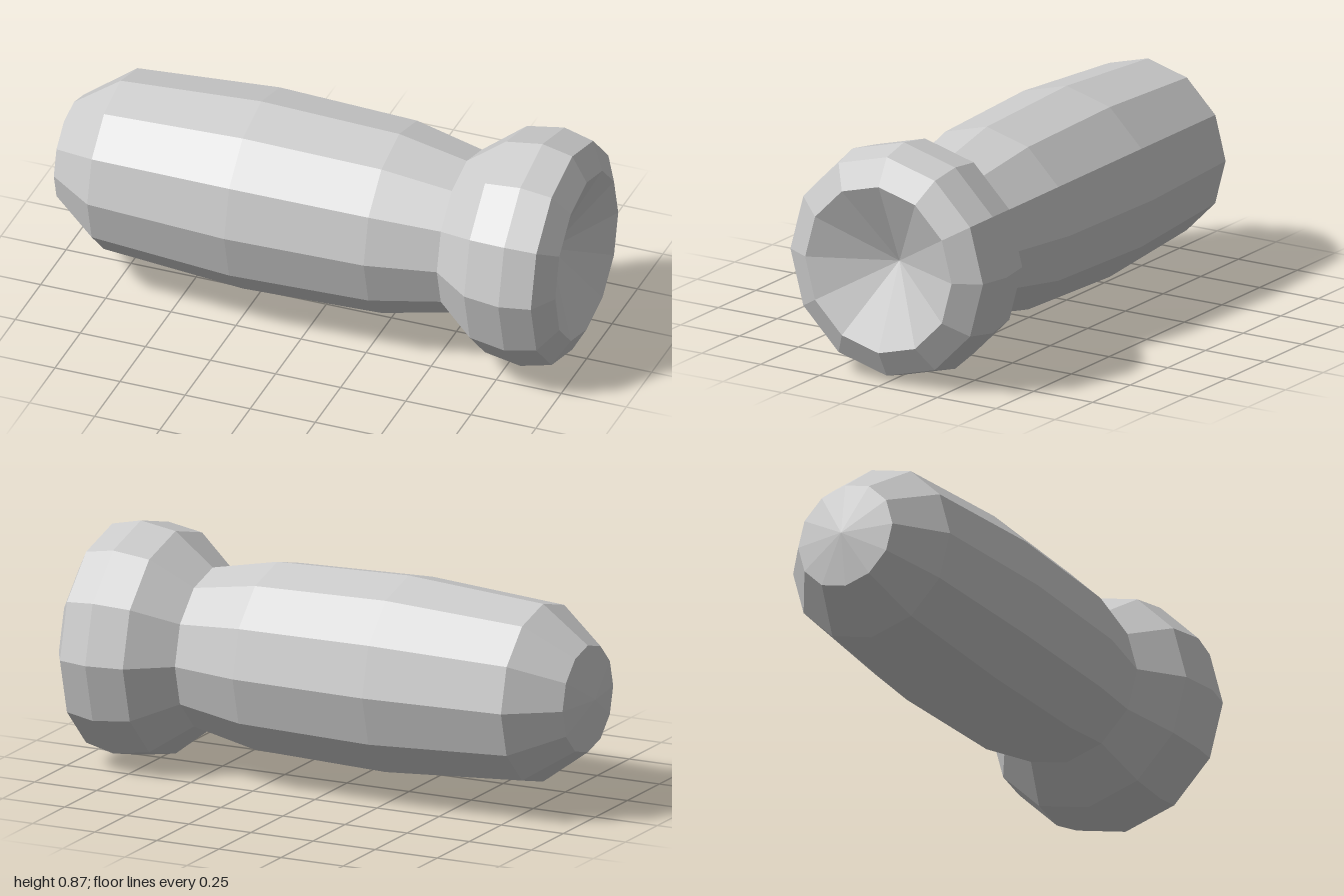
import * as THREE from 'three';

const SIDES = 12;
const AXIS_HEIGHT = 0.435;

// Turned part lying along x; profile entries are [x, radius]
function turned(name, profile, material) {
  const points = profile.map(([x, r]) => new THREE.Vector2(r, x));
  const geometry = new THREE.LatheGeometry(points, SIDES);
  geometry.rotateZ(-Math.PI / 2);
  geometry.translate(0, AXIS_HEIGHT, 0);
  const mesh = new THREE.Mesh(geometry, material);
  mesh.name = name;
  return mesh;
}

export function createModel() {
  const group = new THREE.Group();
  group.name = 'flaredHandle';
  const material = new THREE.MeshStandardMaterial({ color: 0xcccccc, flatShading: true });

  // Barrel-shaped body with a shallow pointed end
  group.add(turned('body', [
    [-1, 0], [-0.97, 0.198], [-0.79, 0.33], [-0.25, 0.367], [0.28, 0.351], [0.54, 0.297],
  ], material));

  // Flared head with a conical hollow in its face
  group.add(turned('head', [
    [0.54, 0.297], [0.69, 0.413], [0.83, 0.435], [0.945, 0.409], [1, 0.311], [0.86, 0],
  ], material));

  return group;
}
